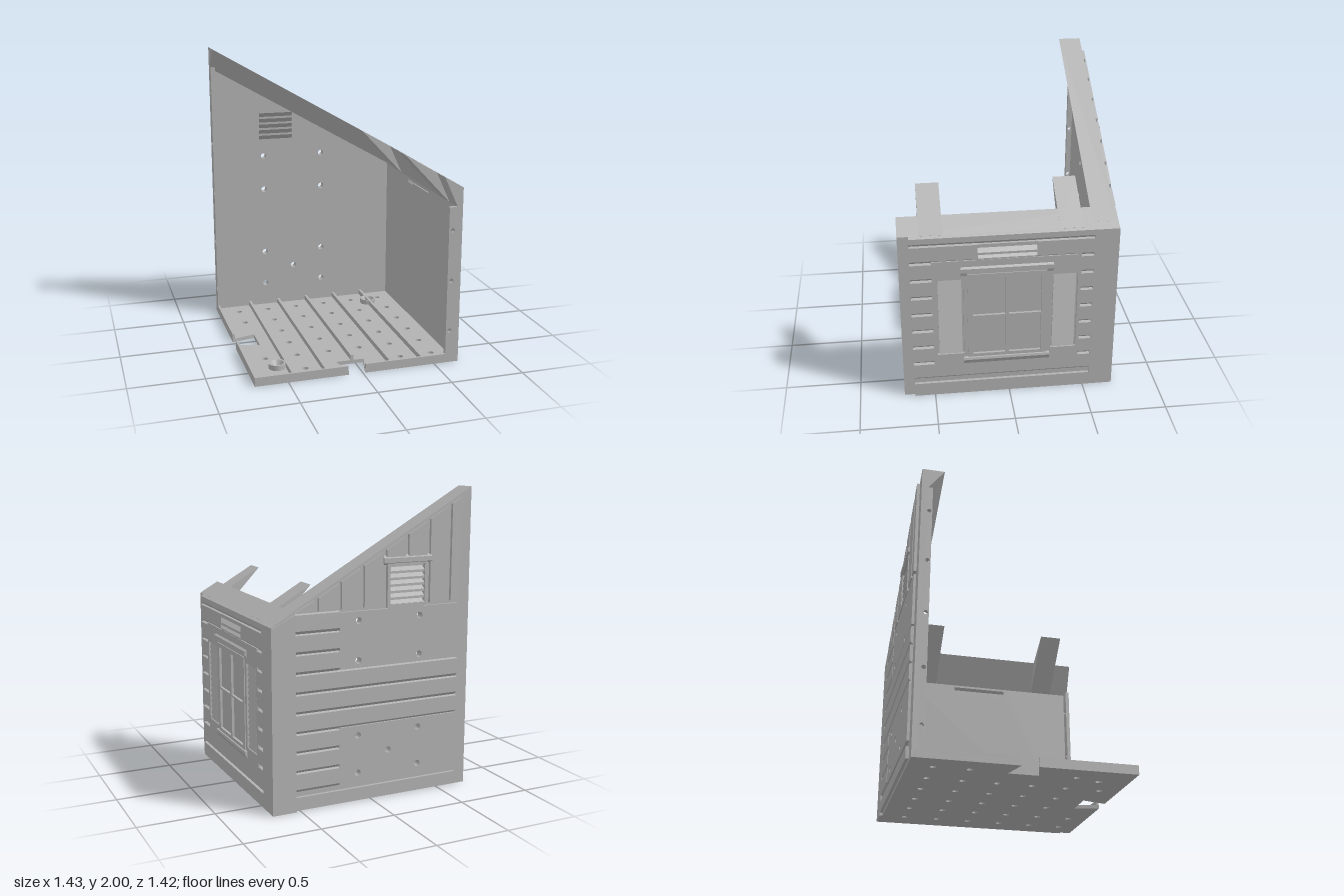
import * as THREE from 'three';

const grey = new THREE.MeshStandardMaterial({ color: 0xb2b2b2 });
grey.name = 'plain grey';
const SLOPE = 0.574;

function add(parent, name, geometry) {
  const mesh = new THREE.Mesh(geometry, grey);
  mesh.name = name;
  parent.add(mesh);
  return mesh;
}

const rect = (x0, y0, x1, y1) => [[x0, y0], [x1, y0], [x1, y1], [x0, y1]];

// Extruded outline with polygon holes and round holes [x, y, radius]
function extrude(points, depth, holes = [], rounds = []) {
  const shape = new THREE.Shape(points.map(p => new THREE.Vector2(...p)));
  holes.forEach(h => shape.holes.push(new THREE.Path(h.map(p => new THREE.Vector2(...p)))));
  rounds.forEach(([x, y, r]) => {
    const path = new THREE.Path();
    path.absarc(x, y, r, 0, Math.PI * 2, true);
    shape.holes.push(path);
  });
  return new THREE.ExtrudeGeometry(shape, { depth, bevelEnabled: false, curveSegments: 8 });
}

// Wall-local frame: x runs along the wall, z points outward
function plate(parent, name, points, d0, d1, holes, rounds) {
  return add(parent, name, extrude(points, d1 - d0, holes, rounds).translate(0, 0, d0));
}

// Cross-section of [outward, height] swept along the wall
function strip(parent, name, profile, u0, u1) {
  return add(parent, name, extrude(profile, u1 - u0).rotateY(-Math.PI / 2).translate(u1, 0, 0));
}

// Lapped boards between successive groove heights
function siding(parent, u0, u1, d0, d1, first, last) {
  for (let k = first; k < last; k++) {
    const a = 0.135 + 0.126 * k, b = a + 0.126;
    strip(parent, 'sidingBoard', [[d0, a - 0.008], [d1, a + 0.012], [d1, b - 0.014], [d0, b - 0.008]], u0, u1);
  }
}

// Slanted vent slats, inner edge high and outer edge low
function louvres(parent, u0, u1, y0, count, pitch, d0, d1, first) {
  const drop = 0.04, t = 0.0155;
  for (let i = 0; i <= count; i++) {
    const y = y0 + i * pitch, low = i === 0 ? first : y - t;
    strip(parent, 'ventSlat', [[d0, low], [d0, y], [d1, y - drop], [d1, low - drop]], u0, u1);
  }
}

function buildFloor(group) {
  const floor = new THREE.Group();
  floor.name = 'floor';
  group.add(floor);
  const outline = [[-0.72, -0.68], [0.67, -0.68], [0.67, 0.705], [0.015, 0.705], [0.055, 0.545],
    [-0.135, 0.545], [-0.095, 0.705], [-0.72, 0.705], [-0.72, 0.08], [-0.56, 0.125], [-0.56, -0.07], [-0.72, -0.025]];
  const holes = [[-0.53, 0.515, 0.022]];
  for (let i = 0; i < 6; i++) for (let j = 0; j < 6; j++) {
    const x = -0.575 + 0.22 * i, z = -0.525 + 0.221 * j;
    const inNotch = i === 0 && (j === 2 || j === 3);
    if (!inNotch && !(j === 5 && [0, 2, 3].includes(i))) holes.push([x, z, 0.02]);
  }
  add(floor, 'floorPlate', extrude(outline, 0.025, [], holes).rotateX(Math.PI / 2).translate(0, 0.025, 0));
  const bar = (name, x0, x1, z0, z1) => add(floor, name,
    new THREE.BoxGeometry(x1 - x0, 0.06, z1 - z0).translate((x0 + x1) / 2, 0.03, (z0 + z1) / 2));
  bar('frontRim', -0.72, -0.1, 0.69, 0.705);
  bar('frontRim', 0.02, 0.6, 0.69, 0.705);
  bar('sideRim', -0.72, -0.705, -0.66, -0.03);
  bar('sideRim', -0.72, -0.705, 0.085, 0.705);
  [-0.466, -0.245, -0.024, 0.197, 0.418].forEach((x, i) =>
    bar('floorRib', x - 0.009, x + 0.009, -0.66, i === 2 ? 0.545 : 0.7));
  const collar = [[0.057, 0.02], [0.057, 0.06], [0.045, 0.06], [0.022, 0.02]].map(p => new THREE.Vector2(...p));
  [[-0.53, 0.515], [0.42, -0.445]].forEach(([x, z]) =>
    add(floor, 'collar', new THREE.LatheGeometry(collar, 24).toNonIndexed()).position.set(x, 0, z));
  floor.children.filter(m => m.name === 'collar').forEach(m => m.geometry.computeVertexNormals());
}

function buildBackWall(group) {
  const wall = new THREE.Group();
  wall.name = 'backWall';
  wall.rotation.y = Math.PI;
  group.add(wall);
  const roofY = u => 1.19 + (0.69 + u) * SLOPE;
  const upper = [[0.34, 1.19], [-0.1, 1.19], [0.34, 0.935], [-0.1, 0.935]].map(p => [...p, 0.021]);
  const lower = [[0.34, 0.445], [-0.1, 0.445], [0.34, 0.195], [-0.1, 0.195], [0.12, 0.32]].map(p => [...p, 0.021]);
  plate(wall, 'wallCore', [[-0.67, 0], [0.72, 0], [0.72, roofY(0.72) - 0.06], [-0.67, roofY(-0.67) - 0.01]], 0.64, 0.68,
    [rect(0.12, 1.275, 0.37, 1.51)], [...upper, ...lower]);

  // Flat panels, boards and trim on the outside
  plate(wall, 'upperPanel', rect(-0.23, 0.895, 0.63, 1.25), 0.68, 0.697, [], upper);
  plate(wall, 'lowerPanel', rect(-0.23, 0.13, 0.63, 0.51), 0.68, 0.697, [], lower);
  plate(wall, 'baseTrim', rect(-0.53, 0.02, 0.63, 0.095), 0.68, 0.7);
  plate(wall, 'cornerTrim', [[-0.69, 0], [-0.53, 0], [-0.53, 1.26], [-0.69, 1.18]], 0.66, 0.7);
  siding(wall, -0.53, -0.23, 0.68, 0.7, 0, 3);
  siding(wall, -0.53, 0.63, 0.68, 0.7, 3, 6);
  siding(wall, -0.53, -0.23, 0.68, 0.7, 6, 9);
  for (let i = 0; i < 8; i++) {
    const a = -0.545 + 0.1575 * i + 0.012, b = Math.min(a + 0.133, 0.64);
    const base = i === 4 || i === 5 ? 1.56 : 1.268;
    if (b - a > 0.02) plate(wall, 'uprightBoard',
      [[a, base], [b, base], [b, roofY(b) - 0.02], [a, Math.max(roofY(a) - 0.02, base + 0.002)]], 0.68, 0.7);
  }

  // Vent with hood and frame
  plate(wall, 'ventFrame', rect(0.1, 1.255, 0.39, 1.54), 0.68, 0.703, [rect(0.12, 1.275, 0.37, 1.525)]);
  strip(wall, 'ventHood', [[0.68, 1.525], [0.712, 1.54], [0.712, 1.57], [0.68, 1.585]], 0.07, 0.42);
  louvres(wall, 0.12, 0.37, 1.317, 5, 0.0417, 0.64, 0.697, 1.275);

  // Sloping roof ledge with a bevelled underside
  const ledge = strip(wall, 'roofLedge', [[0.53, 1.19], [0.68, 1.19], [0.68, 1.12], [0.64, 1.045]], -0.64, 0.72);
  const p = ledge.geometry.attributes.position;
  for (let i = 0; i < p.count; i++) p.setY(i, p.getY(i) + (p.getX(i) + 0.69) * SLOPE);
  ledge.geometry.computeVertexNormals();

  // Side flange with peg holes
  const pegs = [0.2, 0.57, 0.94, 1.31, 1.68].map(y => [0.625, y, 0.014]);
  add(wall, 'sideFlange', extrude(rect(0.605, 0, 0.66, 1.86), 0.03, [], pegs)
    .rotateY(-Math.PI / 2).translate(0.72, 0, 0));
}

function buildSideWall(group) {
  const wall = new THREE.Group();
  wall.name = 'sideWall';
  wall.rotation.y = Math.PI / 2;
  group.add(wall);
  plate(wall, 'wallCore', rect(-0.705, 0, 0.68, 1.19), 0.635, 0.67, [rect(-0.205, 1.0, 0.175, 1.11)]);

  // Roof ledge and its two support tabs
  strip(wall, 'roofLedge', [[0.54, 1.276], [0.67, 1.201], [0.67, 1.12], [0.635, 1.07]], -0.705, 0.69);
  [[-0.57, -0.42], [0.32, 0.47]].forEach(([a, b]) =>
    strip(wall, 'roofTab', [[0.325, 1.4], [0.67, 1.202], [0.67, 1.1], [0.635, 1.07]], a, b));

  // Boards, trim and window surround
  strip(wall, 'topTrim', [[0.67, 1.13], [0.69, 1.153], [0.69, 1.19], [0.67, 1.201]], -0.635, 0.69);
  plate(wall, 'baseTrim', rect(-0.635, 0, 0.54, 0.095), 0.67, 0.69);
  plate(wall, 'cornerTrim', rect(0.54, 0, 0.7, 1.19), 0.65, 0.69);
  siding(wall, -0.635, 0.54, 0.67, 0.69, 0, 1);
  siding(wall, -0.635, -0.5, 0.67, 0.69, 1, 7);
  siding(wall, 0.46, 0.54, 0.67, 0.69, 1, 7);
  siding(wall, -0.635, -0.205, 0.67, 0.69, 7, 8);
  siding(wall, 0.175, 0.54, 0.67, 0.69, 7, 8);
  const shutters = [[-0.475, -0.3], [0.27, 0.44]];
  plate(wall, 'windowPanel', rect(-0.5, 0.235, 0.46, 1.02), 0.67, 0.69,
    [rect(-0.25, 0.305, 0.215, 0.9), ...shutters.map(([a, b]) => rect(a, 0.32, b, 0.885))]);
  louvres(wall, -0.205, 0.175, 1.03, 2, 0.04, 0.635, 0.688, 1.0);
  plate(wall, 'ventTop', rect(-0.205, 1.108, 0.175, 1.132), 0.67, 0.69);

  // Window frame with four panes
  const panes = [];
  for (const [a, b] of [[-0.24, -0.03], [-0.005, 0.205]])
    for (const [c, d] of [[0.315, 0.597], [0.61, 0.89]]) panes.push(rect(a, c, b, d));
  plate(wall, 'windowFrame', rect(-0.275, 0.285, 0.24, 0.92), 0.67, 0.696, panes);
  plate(wall, 'windowGlass', rect(-0.245, 0.31, 0.21, 0.895), 0.67, 0.679);
  strip(wall, 'windowSill', [[0.685, 0.23], [0.708, 0.275], [0.704, 0.29], [0.685, 0.295]], -0.305, 0.265);
  strip(wall, 'windowHood', [[0.685, 0.93], [0.704, 0.937], [0.704, 0.965], [0.685, 0.978]], -0.315, 0.28);
  [[-0.315, -0.275], [0.24, 0.28]].forEach(([a, b]) =>
    strip(wall, 'hoodBracket', [[0.685, 0.895], [0.7, 0.94], [0.685, 0.94]], a, b));

  // Slatted shutters
  shutters.forEach(([a, b]) => {
    for (let i = 0; i < 14; i++) {
      const y = 0.325 + i * 0.04;
      strip(wall, 'shutterSlat', [[0.668, y], [0.688, y], [0.676, y + 0.038], [0.668, y + 0.038]], a + 0.012, b - 0.012);
    }
  });

  // Front flange with peg holes
  const pegs = [0.225, 0.575, 0.92].map(y => [0.605, y, 0.015]);
  add(group, 'frontFlange', extrude(rect(0.578, 0, 0.645, 1.075), 0.025, [], pegs).translate(0, 0, 0.68));
}

export function createModel() {
  const group = new THREE.Group();
  group.name = 'openCornerHouse';
  buildFloor(group);
  buildBackWall(group);
  buildSideWall(group);
  return group;
}
